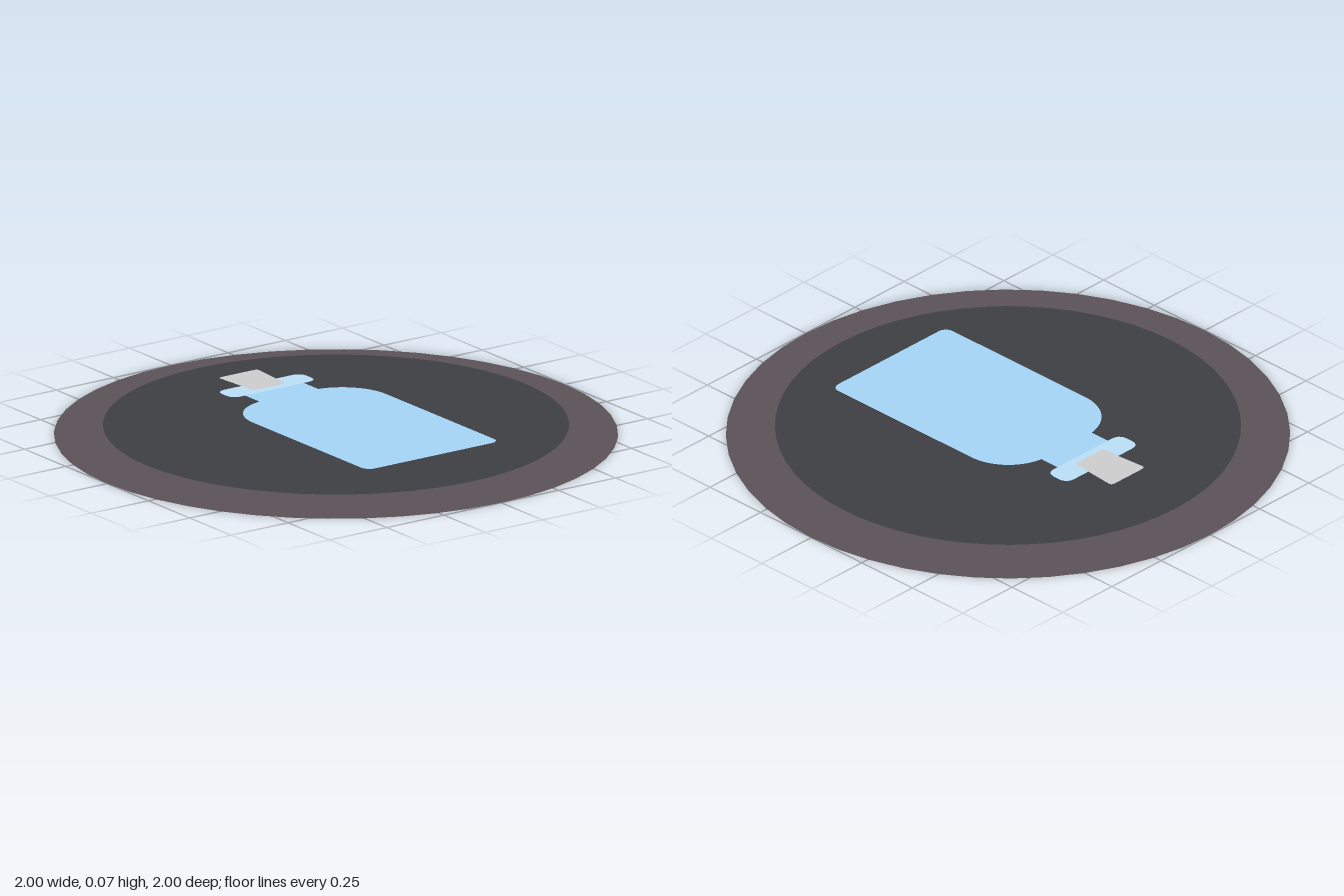
import * as THREE from 'three';

// Flat layer: a shape drawn in plan (x, -z) laid face up at a height
function layer(name, geometry, color, height) {
  geometry.rotateX(-Math.PI / 2);
  const mesh = new THREE.Mesh(
    geometry,
    new THREE.MeshStandardMaterial({ color, side: THREE.DoubleSide })
  );
  mesh.name = name;
  mesh.position.y = height;
  return mesh;
}

// Trapezoid with rounded corners; bottom and top half widths, corner radii
function roundedPanel(wBottom, wTop, y0, y1, rBottom, rTop) {
  const s = new THREE.Shape();
  s.moveTo(-wBottom + rBottom, y0);
  s.lineTo(wBottom - rBottom, y0);
  s.quadraticCurveTo(wBottom, y0, wBottom, y0 + rBottom);
  s.lineTo(wTop, y1 - rTop);
  s.quadraticCurveTo(wTop, y1, wTop - rTop, y1);
  s.lineTo(-wTop + rTop, y1);
  s.quadraticCurveTo(-wTop, y1, -wTop, y1 - rTop);
  s.lineTo(-wBottom, y0 + rBottom);
  s.quadraticCurveTo(-wBottom, y0, -wBottom + rBottom, y0);
  return new THREE.ShapeGeometry(s, 8);
}

// Bottle body: small rounded base corners and round shoulders
function bodyGeometry() {
  const w = 0.29, y0 = -0.59, r = 0.035;
  const shoulder = 0.19, cx = w - shoulder, cy = 0.1;
  const end = Math.acos((0.128 - cx) / shoulder);
  const s = new THREE.Shape();
  s.moveTo(-w + r, y0);
  s.lineTo(w - r, y0);
  s.absarc(w - r, y0 + r, r, -Math.PI / 2, 0, false);
  s.lineTo(w, cy);
  s.absarc(cx, cy, shoulder, 0, end, false);
  s.absarc(-cx, cy, shoulder, Math.PI - end, Math.PI, false);
  s.lineTo(-w, y0 + r);
  s.absarc(-w + r, y0 + r, r, Math.PI, Math.PI * 1.5, false);
  return new THREE.ShapeGeometry(s, 16);
}

export function createModel() {
  const model = new THREE.Group();
  model.name = 'bottleBadge';

  // Stacked discs
  model.add(layer('rimDisc', new THREE.CircleGeometry(1, 48), 0x5a5157, 0));
  model.add(layer('innerDisc', new THREE.CircleGeometry(0.826, 64), 0x3d3e43, 0.035));

  // Bottle emblem
  const bottle = new THREE.Group();
  bottle.name = 'bottle';
  const glass = 0xa3d3f3;
  bottle.add(layer('body', bodyGeometry(), glass, 0.07));
  bottle.add(layer('neck', roundedPanel(0.128, 0.128, 0.285, 0.38, 0, 0), glass, 0.071));
  bottle.add(layer('lip', roundedPanel(0.185, 0.185, 0.37, 0.47, 0.04, 0.04), 0xb9def5, 0.072));
  bottle.add(layer('cork', roundedPanel(0.07, 0.085, 0.4, 0.595, 0, 0.015), 0xcccccc, 0.073));
  model.add(bottle);

  return model;
}
